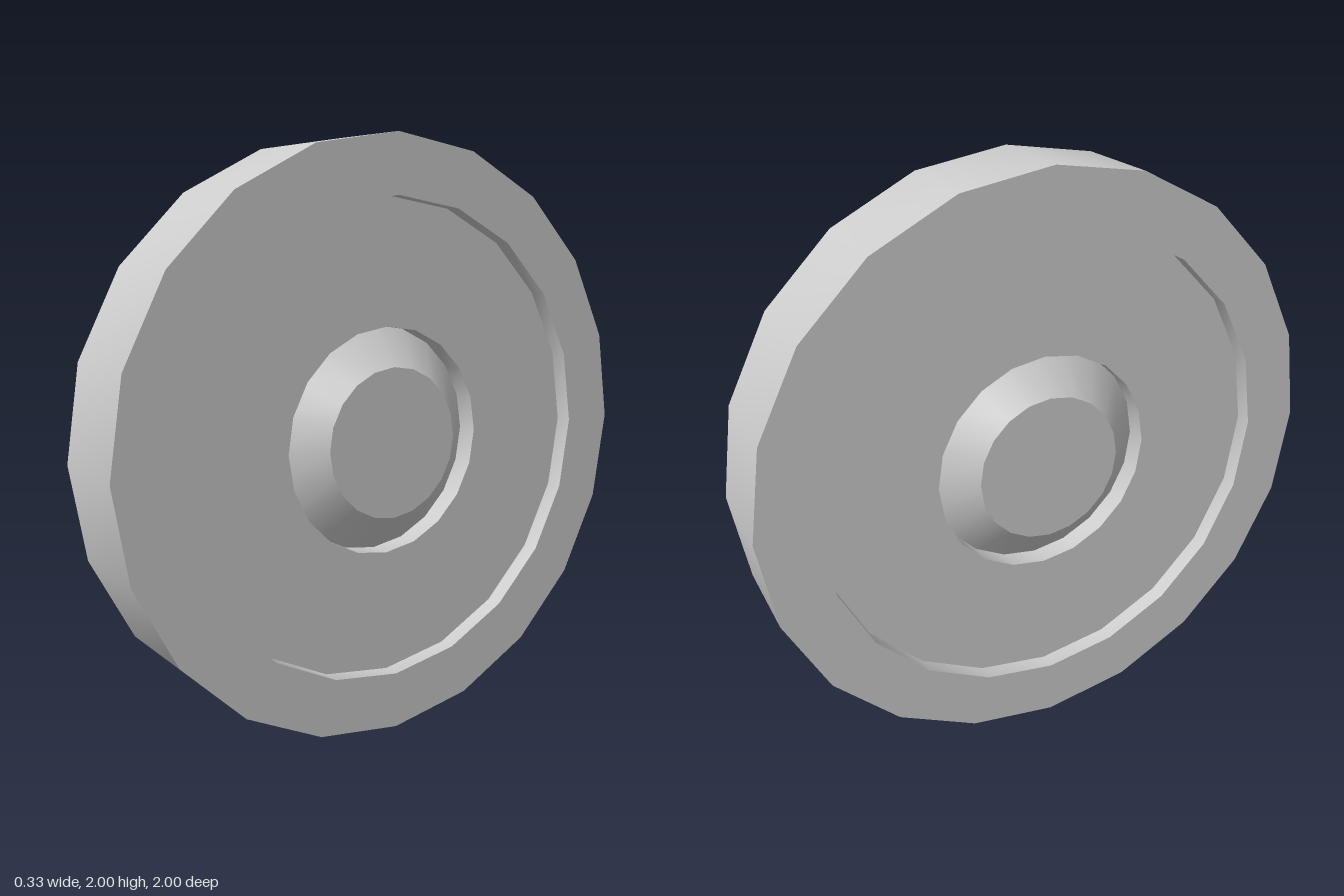
import * as THREE from 'three';
import { toCreasedNormals } from 'three/addons/utils/BufferGeometryUtils.js';

const SIDES = 20;
const HALF_WIDTH = 0.163, WEB = 0.105, GROOVE = 0.03, CAP = 0.145; // distances along the axle
const RIM_R = 1, WEB_R = 0.805, HUB_R = 0.385, CAP_R = 0.255;

export function createModel() {
  const wheel = new THREE.Group();
  wheel.name = 'wheel';
  const material = new THREE.MeshStandardMaterial({ color: 0xcccccc });

  // Turns a [radius, axial] profile around the axle, which lies along x
  const turn = (name, profile) => {
    const points = profile.map(([r, a]) => new THREE.Vector2(r, a));
    const geometry = toCreasedNormals(new THREE.LatheGeometry(points, SIDES), 0.5);
    geometry.rotateZ(-Math.PI / 2);
    const mesh = new THREE.Mesh(geometry, material);
    mesh.name = name;
    mesh.position.y = RIM_R;
    wheel.add(mesh);
  };
  // The same profile on the opposite side, reversed to keep it facing outward
  const mirror = (profile) => profile.map(([r, a]) => [r, -a]).reverse();

  // Outer rim with its inner lips
  turn('rim', [
    [WEB_R, -WEB], [WEB_R, -HALF_WIDTH], [RIM_R, -HALF_WIDTH],
    [RIM_R, HALF_WIDTH], [WEB_R, HALF_WIDTH], [WEB_R, WEB],
  ]);

  // Recessed web with a round well for the hub
  const web = [[WEB_R, WEB], [HUB_R, WEB], [HUB_R, GROOVE]];
  turn('leftWeb', web);
  turn('rightWeb', mirror(web));

  // Tapered hub rising out of the well
  const hub = [[HUB_R, GROOVE], [CAP_R, CAP], [0, CAP]];
  turn('leftHub', hub);
  turn('rightHub', mirror(hub));

  return wheel;
}
